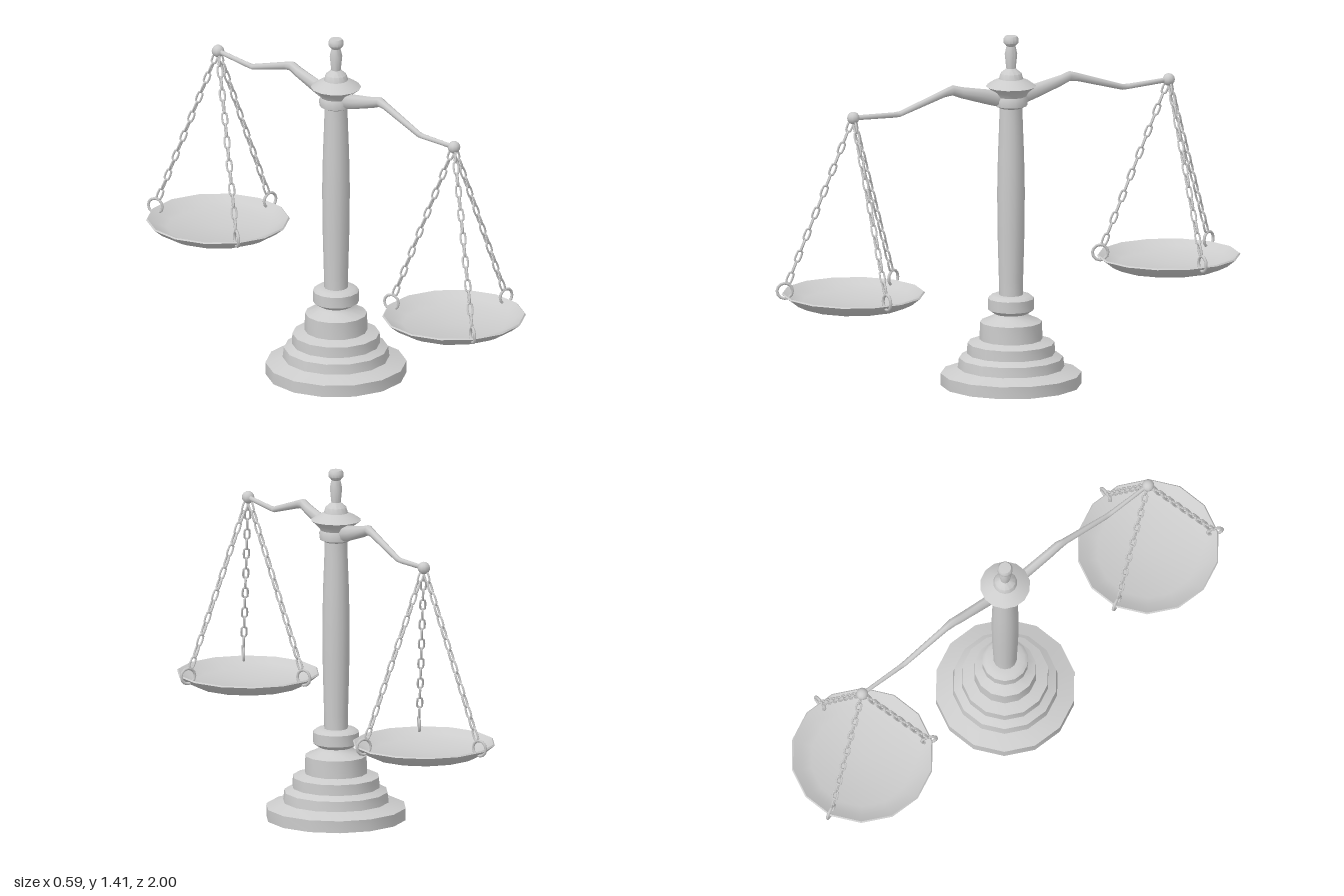
import * as THREE from 'three';
import { mergeGeometries, toCreasedNormals } from 'three/addons/utils/BufferGeometryUtils.js';

const SIDES = 14;
const ARM_END = { y: 1.158, z: 0.717 };
const grey = new THREE.MeshStandardMaterial({ color: 0xcccccc });
const greyDouble = new THREE.MeshStandardMaterial({ color: 0xcccccc, side: THREE.DoubleSide });

function mesh(name, geometry, material = grey) {
  const m = new THREE.Mesh(geometry, material);
  m.name = name;
  return m;
}

// Turned part from [radius, height] pairs
function turned(name, profile, material) {
  const points = profile.map(([r, y]) => new THREE.Vector2(r, y));
  return mesh(name, toCreasedNormals(new THREE.LatheGeometry(points, SIDES), 0.7), material);
}

// Tapered beam lofted along z; each section is [z, y, half width, half height]
function armGeometry() {
  const sections = [
    [0, 1.17, 0.02, 0.032], [0.07, 1.168, 0.02, 0.033], [0.12, 1.18, 0.02, 0.03],
    [0.225, 1.207, 0.019, 0.023], [0.265, 1.221, 0.018, 0.021], [0.3, 1.214, 0.014, 0.017],
    [0.505, 1.151, 0.011, 0.012], [0.53, 1.15, 0.01, 0.011], [ARM_END.z, ARM_END.y, 0.008, 0.01],
  ];
  const n = 8, positions = [], index = [];
  sections.forEach(([z, y, w, h], i) => {
    for (let j = 0; j < n; j++) {
      const t = (j / n) * Math.PI * 2;
      positions.push(w * Math.cos(t), y + h * Math.sin(t), z);
      if (i === sections.length - 1) continue;
      const a = i * n + j, b = i * n + (j + 1) % n;
      index.push(a, b, a + n, b, b + n, a + n);
    }
  });
  const g = new THREE.BufferGeometry();
  g.setAttribute('position', new THREE.Float32BufferAttribute(positions, 3));
  g.setIndex(index);
  g.computeVertexNormals();
  return g;
}

// Oval chain link: a torus with its two halves pulled apart along y
function linkGeometry() {
  const g = new THREE.TorusGeometry(0.0105, 0.0045, 6, 12);
  const p = g.attributes.position;
  for (let i = 0; i < p.count; i++) {
    const y = p.getY(i);
    if (Math.abs(y) > 1e-6) p.setY(i, y + Math.sign(y) * 0.0125);
  }
  g.computeVertexNormals();
  return g;
}

// Straight chain in the xy plane between two points, links turned alternately
function chainGeometry(from, to, count) {
  const tilt = Math.atan2(to.x - from.x, from.y - to.y);
  const links = [];
  for (let i = 0; i < count; i++) {
    const c = from.clone().lerp(to, (i + 0.5) / count);
    links.push(linkGeometry()
      .rotateY(i % 2 ? Math.PI / 2 : 0)
      .rotateZ(tilt)
      .translate(c.x, c.y, 0));
  }
  return mergeGeometries(links);
}

// Pan hung by three chains, each ending in a ring through the rim
function hangingPan(name) {
  const g = new THREE.Group();
  g.name = name;
  g.add(turned('pan', [
    [0, 0.4], [0.213, 0.4], [0.25, 0.418], [0.285, 0.446], [0.28, 0.451],
    [0.245, 0.43], [0.205, 0.415], [0, 0.41],
  ]));
  const chain = chainGeometry(new THREE.Vector3(0.005, 1.147, 0), new THREE.Vector3(0.26, 0.492, 0), 15);
  const ring = new THREE.TorusGeometry(0.031, 0.006, 6, 12).translate(0.272, 0.461, 0);
  for (const degrees of [0, 115, -115]) {
    const hanger = new THREE.Group();
    hanger.name = 'hanger';
    hanger.rotation.y = THREE.MathUtils.degToRad(degrees);
    hanger.add(mesh('chain', chain), mesh('rimRing', ring));
    g.add(hanger);
  }
  const knob = mesh('armEndKnob', new THREE.SphereGeometry(0.025, 10, 8));
  knob.position.y = ARM_END.y;
  g.add(knob);
  return g;
}

export function createModel() {
  const model = new THREE.Group();
  model.name = 'balanceScale';
  const body = new THREE.Group();
  body.name = 'body';
  body.position.x = -0.013;
  model.add(body);

  // Stepped base, hollow and open underneath
  body.add(turned('base', [
    [0.28, 0], [0.28, 0.048], [0.212, 0.07], [0.207, 0.11], [0.175, 0.127],
    [0.173, 0.17], [0.125, 0.184], [0.123, 0.255], [0.075, 0.276], [0.066, 0.288],
    [0.092, 0.305], [0.092, 0.35], [0.078, 0.362], [0.045, 0.364],
  ], greyDouble));

  // Slightly swelling column
  body.add(turned('column', [
    [0.047, 0.355], [0.048, 0.42], [0.053, 0.6], [0.055, 0.78], [0.052, 0.93],
    [0.047, 1.06], [0.045, 1.14],
  ], greyDouble));

  // Flared capital and finial
  body.add(turned('capital', [
    [0.044, 1.122], [0.065, 1.132], [0.068, 1.155], [0.062, 1.17], [0.074, 1.19],
    [0.1, 1.21], [0.076, 1.227], [0.048, 1.24], [0.042, 1.262], [0.02, 1.28],
  ], greyDouble));
  body.add(turned('finial', [
    [0.034, 1.268], [0.019, 1.282], [0.025, 1.34], [0.018, 1.372], [0.03, 1.386],
    [0.03, 1.402], [0.024, 1.412], [0, 1.413],
  ]));

  // Mirrored arms with their pans
  const arm = armGeometry();
  for (const side of [1, -1]) {
    const name = side > 0 ? 'front' : 'back';
    const beam = mesh(name + 'Arm', arm);
    beam.rotation.y = side > 0 ? 0 : Math.PI;
    const pan = hangingPan(name + 'Pan');
    pan.position.z = side * ARM_END.z;
    body.add(beam, pan);
  }
  return model;
}
